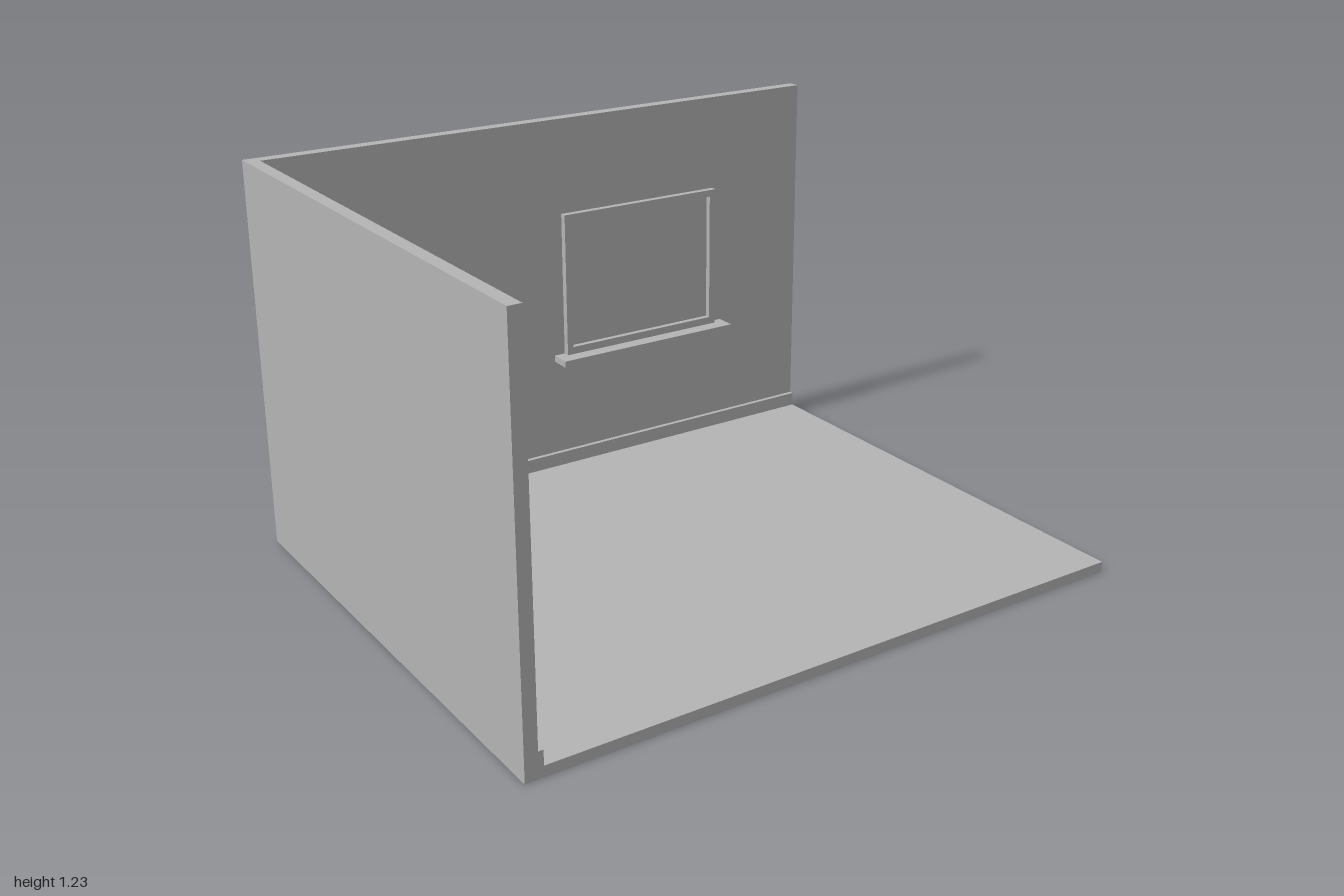
import * as THREE from 'three';

export function createModel() {
  const room = new THREE.Group();
  room.name = 'roomCorner';
  const plaster = new THREE.MeshStandardMaterial({ color: 0xb4b4b4 });
  plaster.name = 'plaster grey';

  const add = (name, geometry) => {
    const mesh = new THREE.Mesh(geometry, plaster);
    mesh.name = name;
    room.add(mesh);
    return mesh;
  };

  // Box given by its minimum and maximum on each axis
  const box = (name, x0, x1, y0, y1, z0, z1) =>
    add(name, new THREE.BoxGeometry(x1 - x0, y1 - y0, z1 - z0))
      .position.set((x0 + x1) / 2, (y0 + y1) / 2, (z0 + z1) / 2);

  const rect = (path, [x0, x1, y0, y1]) => path
    .moveTo(x0, y0).lineTo(x1, y0).lineTo(x1, y1).lineTo(x0, y1).closePath();

  // Upright panel with a rectangular opening
  const panel = (name, outer, hole, z0, z1) => {
    const shape = new THREE.Shape();
    rect(shape, outer);
    const opening = new THREE.Path();
    rect(opening, hole);
    shape.holes.push(opening);
    add(name, new THREE.ExtrudeGeometry(shape, { depth: z1 - z0, bevelEnabled: false }))
      .position.z = z0;
  };

  const height = 1.23, floorTop = 0.034, skirtTop = 0.08;
  const wallX = -0.96, wallZ = -0.76;
  const opening = [0.038, 0.637, 0.43, 0.915];
  const glazing = [0.06, 0.614, 0.455, 0.892];

  // Floor and the two walls
  box('floor', -1, 1, 0, floorTop, -0.8, 0.8);
  panel('backWall', [-1, 1, floorTop, height], opening, -0.8, wallZ);
  box('sideWall', -1, wallX, floorTop, height, wallZ, 0.8);

  // Skirting boards along both walls
  box('backSkirting', wallX, 1, floorTop, skirtTop, wallZ, wallZ + 0.015);
  box('sideSkirting', wallX, wallX + 0.015, floorTop, skirtTop, wallZ + 0.015, 0.8);

  // Window frame, pane and sill
  panel('windowFrame', opening, glazing, -0.775, -0.738);
  box('windowPane', glazing[0], glazing[1], glazing[2], glazing[3], -0.763, -0.757);
  box('windowSill', 0, 0.675, 0.408, 0.43, wallZ, -0.69);

  return room;
}
